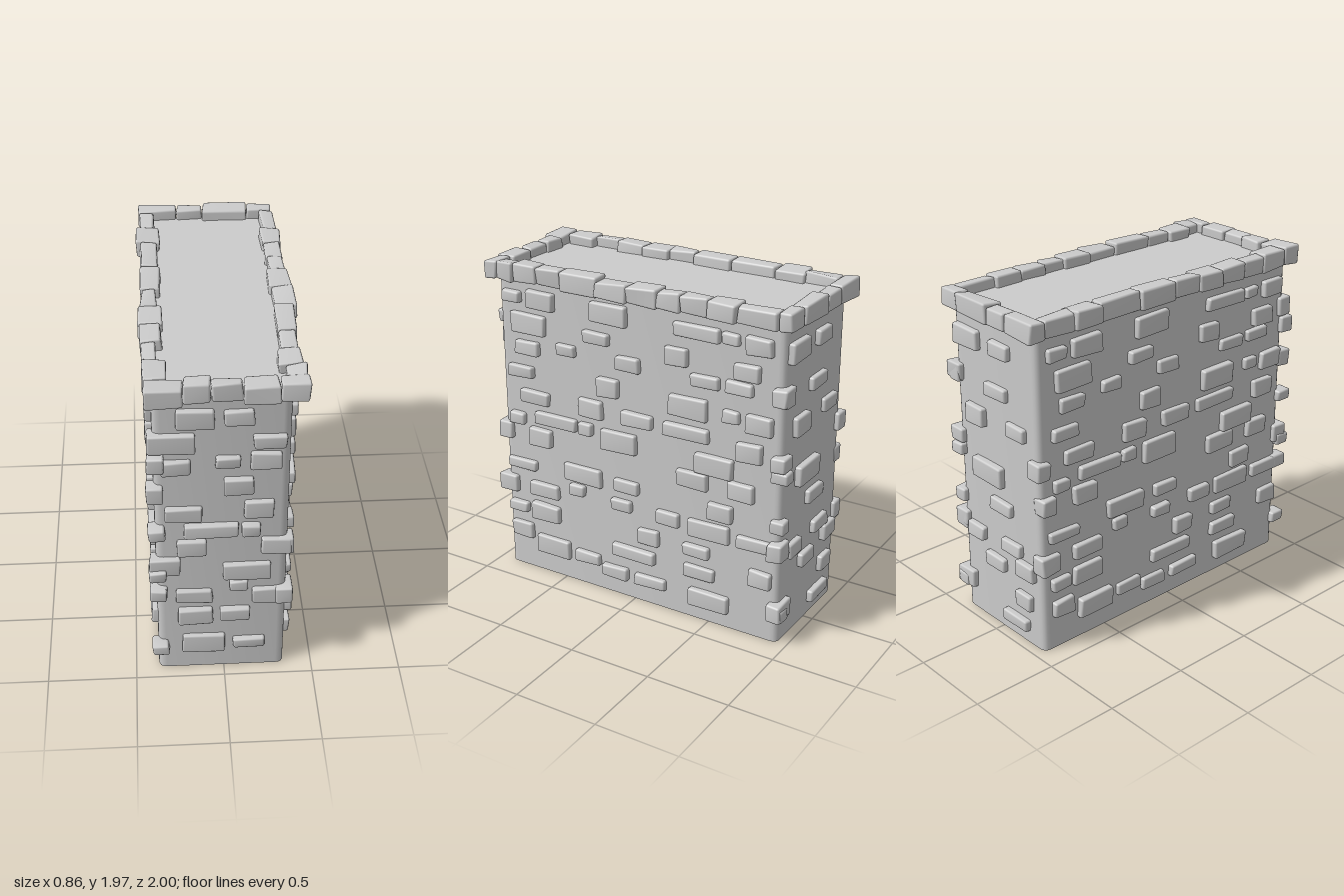
import * as THREE from 'three';
import { RoundedBoxGeometry } from 'three/addons/geometries/RoundedBoxGeometry.js';
import { mergeVertices, toCreasedNormals } from 'three/addons/utils/BufferGeometryUtils.js';

const material = new THREE.MeshStandardMaterial({ color: 0xcccccc });

let seed = 7;
function jitter(amount) {
  seed = (seed * 16807) % 2147483647;
  return (seed / 2147483647 - 0.5) * 2 * amount;
}

// Softly worn block: a rounded box whose eight corners are nudged
function stone(name, w, h, d, x, y, z, wobble) {
  let geo = new RoundedBoxGeometry(w, h, d, 1, Math.min(0.012, h * 0.2));
  const corners = Array.from({ length: 8 }, () => new THREE.Vector3(jitter(wobble), jitter(wobble), jitter(wobble)));
  const pos = geo.attributes.position;
  const p = new THREE.Vector3();
  for (let i = 0; i < pos.count; i++) {
    p.fromBufferAttribute(pos, i);
    const a = p.x / w + 0.5, b = p.y / h + 0.5, c = p.z / d + 0.5;
    corners.forEach((o, k) => {
      const weight = (k & 1 ? a : 1 - a) * (k & 2 ? b : 1 - b) * (k & 4 ? c : 1 - c);
      p.addScaledVector(o, weight);
    });
    pos.setXYZ(i, p.x, p.y, p.z);
  }
  geo.deleteAttribute('normal');
  geo.deleteAttribute('uv');
  geo = mergeVertices(geo, 1e-4);
  geo.computeVertexNormals();
  const mesh = new THREE.Mesh(geo, material);
  mesh.name = name;
  mesh.position.set(x, y, z);
  return mesh;
}

// Wall core with rounded upright edges
function wallCore() {
  const x0 = -0.37, x1 = 0.34, z0 = -0.94, z1 = 0.92, r = 0.045;
  const s = new THREE.Shape();
  s.moveTo(x0 + r, -z1);
  s.lineTo(x1 - r, -z1);
  s.quadraticCurveTo(x1, -z1, x1, -z1 + r);
  s.lineTo(x1, -z0 - r);
  s.quadraticCurveTo(x1, -z0, x1 - r, -z0);
  s.lineTo(x0 + r, -z0);
  s.quadraticCurveTo(x0, -z0, x0, -z0 - r);
  s.lineTo(x0, -z1 + r);
  s.quadraticCurveTo(x0, -z1, x0 + r, -z1);
  const geo = new THREE.ExtrudeGeometry(s, { depth: 1.9, bevelEnabled: false, curveSegments: 4 });
  geo.rotateX(-Math.PI / 2);
  const mesh = new THREE.Mesh(toCreasedNormals(geo, 0.7), material);
  mesh.name = 'wallCore';
  return mesh;
}

// One wall face; each stone is [along, height, width, tall]
function wallFace(name, angle, distance, flip, courses) {
  const face = new THREE.Group();
  face.name = name;
  face.rotation.y = angle;
  for (const course of courses) {
    for (const [u, y, w, h] of course) {
      face.add(stone('wallStone', w, h, 0.09, u * flip, y, distance - 0.012 + jitter(0.004), 0.006));
    }
  }
  return face;
}

const longCourses = [];
const addLong = (...stones) => longCourses.push(stones);
addLong([0.82, 1.755, 0.13, 0.07], [0.62, 1.755, 0.19, 0.11], [0.155, 1.755, 0.24, 0.12],
  [-0.41, 1.755, 0.29, 0.08], [-0.62, 1.755, 0.1, 0.065], [-0.79, 1.745, 0.155, 0.1]);
addLong([0.71, 1.6, 0.235, 0.12], [0.24, 1.6, 0.17, 0.075], [-0.285, 1.595, 0.14, 0.105], [-0.72, 1.585, 0.155, 0.1]);
addLong([0.72, 1.455, 0.16, 0.08], [0.45, 1.485, 0.13, 0.07], [0.03, 1.485, 0.155, 0.08],
  [-0.465, 1.485, 0.175, 0.07], [-0.675, 1.49, 0.165, 0.07], [-0.93, 1.485, 0.09, 0.1]);
addLong([0.77, 1.3, 0.18, 0.07], [0.16, 1.32, 0.14, 0.11], [-0.355, 1.31, 0.24, 0.125],
  [-0.63, 1.315, 0.1, 0.075], [-0.8, 1.3, 0.16, 0.11]);
addLong([0.68, 1.15, 0.2, 0.085], [0.285, 1.165, 0.16, 0.11], [-0.03, 1.165, 0.2, 0.085],
  [-0.345, 1.165, 0.29, 0.08], [-0.74, 1.13, 0.16, 0.11]);
addLong([0.81, 1.0, 0.1, 0.07], [0.535, 1.03, 0.29, 0.08], [0.325, 1.03, 0.1, 0.075],
  [0.095, 1.0, 0.24, 0.125], [-0.525, 1.0, 0.24, 0.125], [-0.93, 1.025, 0.1, 0.07]);
addLong([0.9, 0.905, 0.09, 0.1], [0.645, 0.905, 0.16, 0.11], [-0.39, 0.885, 0.195, 0.105], [-0.7, 0.885, 0.16, 0.11]);
addLong([0.79, 0.7, 0.21, 0.065], [0.35, 0.73, 0.26, 0.11], [0.045, 0.73, 0.17, 0.075],
  [-0.57, 0.725, 0.155, 0.105], [-0.93, 0.73, 0.09, 0.075]);
addLong([0.895, 0.55, 0.13, 0.11], [0.63, 0.56, 0.2, 0.085], [0.39, 0.625, 0.1, 0.07], [0.08, 0.6, 0.135, 0.07],
  [-0.23, 0.6, 0.155, 0.08], [-0.5, 0.59, 0.26, 0.11], [-0.825, 0.585, 0.29, 0.075]);
addLong([0.825, 0.41, 0.13, 0.07], [0.63, 0.41, 0.2, 0.11], [-0.1, 0.44, 0.14, 0.1],
  [-0.42, 0.445, 0.17, 0.07], [-0.825, 0.38, 0.14, 0.1]);
addLong([0.81, 0.25, 0.145, 0.1], [0, 0.305, 0.29, 0.08], [-0.44, 0.305, 0.2, 0.085]);
addLong([0.58, 0.19, 0.24, 0.125], [0.325, 0.19, 0.175, 0.075], [0.13, 0.15, 0.175, 0.075],
  [-0.11, 0.15, 0.21, 0.07], [-0.505, 0.145, 0.26, 0.11], [-0.93, 0.185, 0.1, 0.07]);

const frontCourses = [];
const addFront = (...stones) => frontCourses.push(stones);
addFront([-0.15, 1.75, 0.195, 0.11], [0.07, 1.755, 0.155, 0.085]);
addFront([-0.275, 1.6, 0.24, 0.12], [0.23, 1.6, 0.17, 0.075]);
addFront([-0.25, 1.45, 0.155, 0.085], [0.015, 1.475, 0.125, 0.07], [0.21, 1.48, 0.16, 0.105]);
addFront([-0.365, 1.28, 0.09, 0.105], [0.075, 1.32, 0.155, 0.11]);
addFront([-0.215, 1.14, 0.2, 0.09], [0.18, 1.16, 0.155, 0.11]);
addFront([-0.07, 1.025, 0.29, 0.08], [0.145, 1.025, 0.1, 0.075]);
addFront([-0.175, 0.905, 0.155, 0.105], [0.275, 0.905, 0.16, 0.105]);
addFront([-0.32, 0.78, 0.165, 0.11], [0.125, 0.73, 0.26, 0.11]);
addFront([-0.355, 0.585, 0.095, 0.08], [-0.165, 0.555, 0.2, 0.09], [0.08, 0.625, 0.1, 0.07], [0.25, 0.55, 0.19, 0.105]);
addFront([-0.16, 0.41, 0.195, 0.11], [0.06, 0.415, 0.16, 0.085]);
addFront([-0.115, 0.195, 0.24, 0.12], [0.14, 0.19, 0.18, 0.075]);

const backCourses = [];
const addBack = (...stones) => backCourses.push(stones);
addBack([0.21, 1.72, 0.21, 0.11], [-0.07, 1.72, 0.16, 0.085]);
addBack([0.33, 1.49, 0.12, 0.1], [-0.03, 1.47, 0.18, 0.08]);
addBack([0.16, 1.28, 0.16, 0.11], [-0.19, 1.29, 0.16, 0.08]);
addBack([0.33, 1.11, 0.11, 0.09], [-0.35, 1.12, 0.1, 0.1]);
addBack([0.065, 0.97, 0.25, 0.12], [-0.04, 0.79, 0.18, 0.08]);
addBack([0.33, 0.58, 0.11, 0.11], [0.195, 0.55, 0.15, 0.09], [-0.12, 0.57, 0.17, 0.08]);
addBack([0.03, 0.42, 0.16, 0.08], [-0.24, 0.47, 0.15, 0.1]);
addBack([0.31, 0.2, 0.15, 0.11], [-0.22, 0.27, 0.13, 0.1], [-0.14, 0.11, 0.21, 0.07]);

// Row of coping stones: edges along the wall, then [centre, thickness] across it
function copingRow(name, alongZ, edges, across) {
  const row = new THREE.Group();
  row.name = name;
  across.forEach(([c, t], i) => {
    const mid = (edges[i] + edges[i + 1]) / 2, len = edges[i + 1] - edges[i], h = 0.105 + jitter(0.006);
    row.add(alongZ
      ? stone('copingStone', t, h, len, c, 1.908, mid, 0.009)
      : stone('copingStone', len, h, t, mid, 1.908, c, 0.009));
  });
  return row;
}

export function createModel() {
  const wall = new THREE.Group();
  wall.name = 'stoneWall';
  wall.add(wallCore());

  wall.add(wallFace('frontFace', 0, 0.92, 1, frontCourses));
  wall.add(wallFace('backFace', Math.PI, 0.94, -1, backCourses));
  wall.add(wallFace('leftFace', Math.PI / 2, 0.34, -1, longCourses));
  wall.add(wallFace('rightFace', -Math.PI / 2, 0.37, -1, longCourses));

  wall.add(copingRow('rightCoping', true, [-0.91, -0.71, -0.53, -0.25, 0, 0.175, 0.35, 0.53, 0.69, 0.87],
    [[-0.36, 0.08], [-0.36, 0.13], [-0.355, 0.1], [-0.35, 0.11], [-0.365, 0.08], [-0.36, 0.13],
      [-0.36, 0.12], [-0.37, 0.08], [-0.35, 0.12]]));
  wall.add(copingRow('leftCoping', true, [-0.9, -0.67, -0.5, -0.33, -0.185, 0, 0.195, 0.45, 0.62, 0.77, 0.88],
    [[0.355, 0.08], [0.35, 0.11], [0.35, 0.09], [0.355, 0.09], [0.355, 0.125], [0.365, 0.12],
      [0.355, 0.11], [0.345, 0.08], [0.34, 0.12], [0.365, 0.1]]));
  wall.add(copingRow('frontCoping', false, [-0.4, -0.21, -0.07, 0.09, 0.27, 0.42],
    [[0.935, 0.12], [0.905, 0.1], [0.91, 0.08], [0.92, 0.12], [0.915, 0.08]]));
  wall.add(copingRow('backCoping', false, [-0.41, -0.18, -0.025, 0.24, 0.385],
    [[-0.955, 0.09], [-0.955, 0.08], [-0.945, 0.11], [-0.945, 0.08]]));
  return wall;
}
